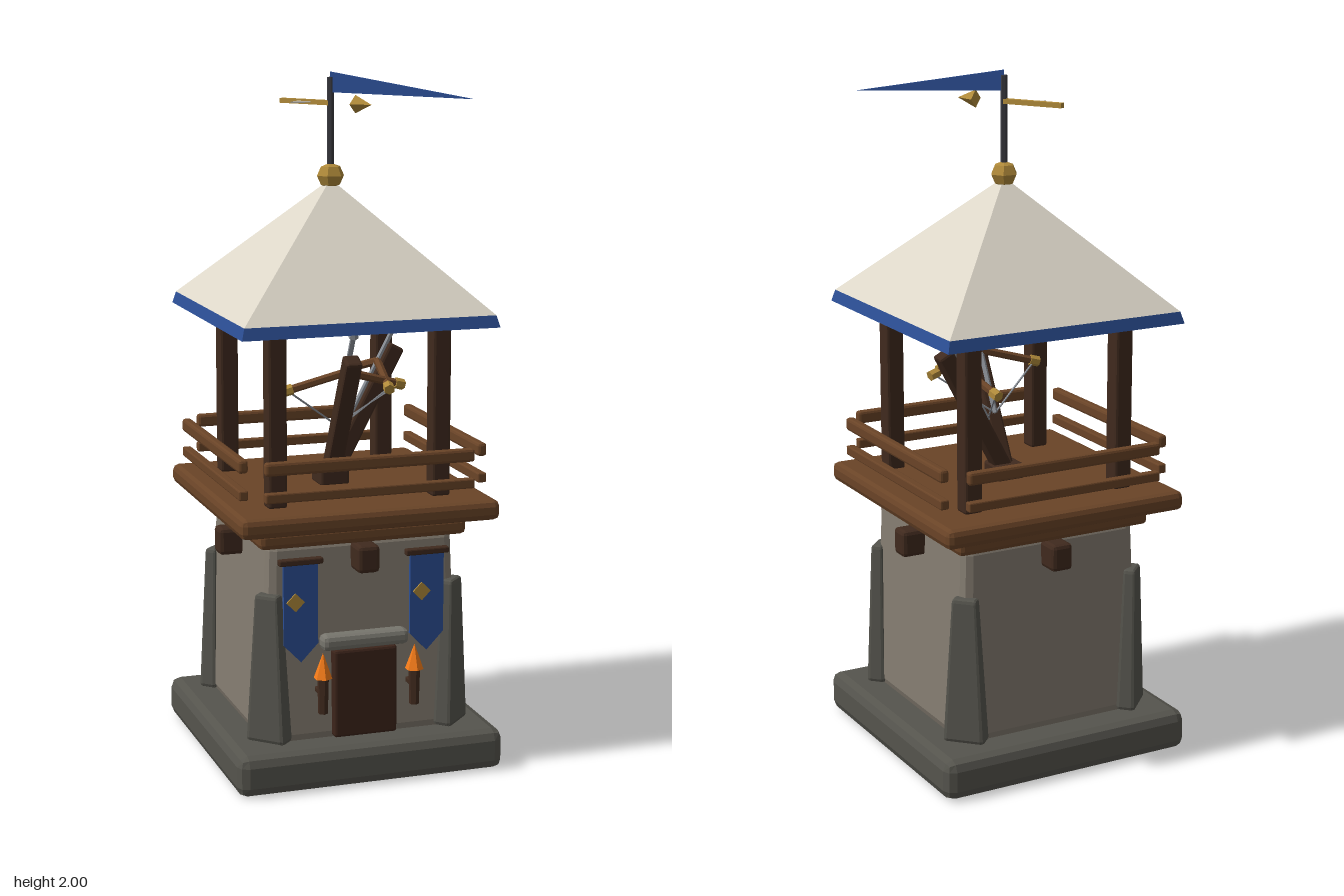
import * as THREE from 'three';
import { RoundedBoxGeometry } from 'three/addons/geometries/RoundedBoxGeometry.js';

const mat = (color, side = THREE.FrontSide) =>
  new THREE.MeshStandardMaterial({ color, flatShading: true, side });
const M = {
  stone: mat(0x857d71), darkStone: mat(0x55544d), lintel: mat(0x77756d),
  wood: mat(0x6a4427), darkWood: mat(0x402a1e), door: mat(0x3c241a),
  roof: mat(0xdcd6c8), blue: mat(0x2c4f96, THREE.DoubleSide), gold: mat(0xb08a3a),
  flame: mat(0xf57c1a), steel: mat(0x8a8f96), pole: mat(0x3a3a40),
  fin: mat(0xd0c8b8, THREE.DoubleSide),
};

function add(parent, name, geometry, material, x = 0, y = 0, z = 0) {
  const mesh = new THREE.Mesh(geometry, material);
  mesh.name = name;
  mesh.position.set(x, y, z);
  parent.add(mesh);
  return mesh;
}

function group(parent, name) {
  const g = new THREE.Group();
  g.name = name;
  parent.add(g);
  return g;
}

// Box with chamfered edges; its plan can narrow towards the top
function block(w, h, d, bevel = 0.008, topX = 1, topZ = topX) {
  const g = new RoundedBoxGeometry(w, h, d, 1, bevel);
  const p = g.attributes.position;
  for (let i = 0; i < p.count; i++) {
    const t = p.getY(i) / h + 0.5;
    p.setX(i, p.getX(i) * (1 + (topX - 1) * t));
    p.setZ(i, p.getZ(i) * (1 + (topZ - 1) * t));
  }
  g.computeVertexNormals();
  return g;
}

// Round bar between two points
function bar(parent, name, a, b, r, material, sides = 6) {
  const from = new THREE.Vector3(...a), dir = new THREE.Vector3(...b).sub(from);
  const mesh = add(parent, name, new THREE.CylinderGeometry(r, r, dir.length(), sides), material);
  mesh.position.copy(from).addScaledVector(dir, 0.5);
  mesh.quaternion.setFromUnitVectors(new THREE.Vector3(0, 1, 0), dir.normalize());
  return mesh;
}

// Square frustum given by half widths
const frustum = (top, bottom, h) =>
  new THREE.CylinderGeometry(top * Math.SQRT2, bottom * Math.SQRT2, h, 4).rotateY(Math.PI / 4);

function polygon(points, depth) {
  const shape = new THREE.Shape(points.map(([x, y]) => new THREE.Vector2(x, y)));
  return new THREE.ExtrudeGeometry(shape, { depth, bevelEnabled: false }).translate(0, 0, -depth / 2);
}

// Ballista leaning outwards, built along local y
function ballista(parent, turn) {
  const pivot = group(parent, 'ballista');
  pivot.position.y = 0.82;
  pivot.rotation.y = turn;
  const g = group(pivot, 'tiltedBallista');
  g.rotation.x = 0.485;
  add(g, 'stock', block(0.05, 0.43, 0.05), M.darkWood, 0, 0.215, 0);
  const z = -0.028;
  bar(g, 'bolt', [0, 0.17, z], [0, 0.5, z], 0.008, M.steel);
  add(g, 'boltTip', new THREE.ConeGeometry(0.016, 0.05, 6), M.steel, 0, 0.515, z);
  for (const s of [-1, 1]) {
    bar(g, 'bowArm', [0, 0.365, z], [s * 0.17, 0.31, z], 0.012, M.wood);
    bar(g, 'bowCap', [s * 0.155, 0.315, z], [s * 0.183, 0.306, z], 0.016, M.gold);
    bar(g, 'bowString', [s * 0.17, 0.31, z], [0, 0.17, z], 0.003, M.steel, 4);
  }
}

export function createModel() {
  const model = new THREE.Group();
  model.name = 'watchtower';

  // Stone base, tapered body and diagonal corner buttresses
  add(model, 'plinth', block(0.8, 0.12, 0.8, 0.03), M.darkStone, 0, 0.06, 0);
  add(model, 'towerBody', block(0.6, 0.6, 0.6, 0.03, 0.93), M.stone, 0, 0.41, 0);
  for (const sx of [-1, 1]) for (const sz of [-1, 1]) {
    const b = add(model, 'buttress', block(0.125, 0.435, 0.06, 0.012, 0.58, 0.6), M.darkStone,
      sx * 0.277, 0.34, sz * 0.277);
    b.rotation.y = Math.atan2(sx, sz);
  }

  // Door, lintel and torches
  add(model, 'door', block(0.19, 0.26, 0.06), M.door, 0, 0.255, 0.295);
  add(model, 'lintel', block(0.26, 0.045, 0.08, 0.015), M.lintel, 0, 0.408, 0.29);
  for (const s of [-1, 1]) {
    const t = group(model, 'torch');
    t.position.set(s * 0.138, 0, 0.347);
    add(t, 'torchHandle', new THREE.CylinderGeometry(0.017, 0.014, 0.11, 6), M.darkWood, 0, 0.268, 0);
    add(t, 'torchFlame', new THREE.ConeGeometry(0.027, 0.075, 6), M.flame, 0, 0.355, 0);
    add(t, 'torchBracket', block(0.015, 0.015, 0.06, 0.003), M.darkWood, 0, 0.27, -0.03);
  }

  // Banners hanging from rods
  for (const s of [-1, 1]) {
    const b = group(model, 'banner');
    b.position.set(s * 0.19, 0, 0.302);
    add(b, 'bannerRod', block(0.13, 0.018, 0.025, 0.004), M.darkWood, 0, 0.652, 0);
    add(b, 'bannerCloth', polygon([[-0.051, 0.65], [-0.051, 0.41], [0, 0.357], [0.051, 0.41], [0.051, 0.65]], 0.01), M.blue);
    add(b, 'bannerEmblem', polygon([[-0.027, 0], [0, -0.027], [0.027, 0], [0, 0.027]], 0.008), M.gold, -0.017, 0.535, 0.006);
  }

  // Crossed beams, platform and railings
  add(model, 'crossBeam', block(0.7, 0.08, 0.066, 0.012), M.darkWood, 0, 0.652, 0);
  add(model, 'crossBeam', block(0.066, 0.08, 0.7, 0.012), M.darkWood, 0, 0.652, 0);
  add(model, 'lowerDeck', block(0.62, 0.05, 0.62, 0.015), M.wood, 0, 0.717, 0);
  add(model, 'platform', block(0.77, 0.058, 0.77, 0.018), M.wood, 0, 0.774, 0);
  for (let i = 0; i < 4; i++) {
    const r = group(model, 'railing');
    r.rotation.y = i * Math.PI / 2;
    add(r, 'upperRail', block(0.62, 0.038, 0.028), M.wood, 0, 0.937, 0.356);
    add(r, 'lowerRail', block(0.62, 0.028, 0.026, 0.004), M.wood, 0, 0.855, 0.356);
    add(r, 'cornerPost', block(0.056, 0.52, 0.056), M.darkWood, 0.245, 1.06, 0.245);
  }

  // Two ballistas on a shared mount, aimed to the front and to the left
  add(model, 'ballistaMount', block(0.09, 0.05, 0.09), M.darkWood, 0, 0.823, 0);
  ballista(model, 0);
  ballista(model, Math.PI / 2);

  // Roof
  add(model, 'eaves', frustum(0.368, 0.377, 0.034), M.blue, 0, 1.318, 0);
  add(model, 'roof', frustum(0, 0.368, 0.36), M.roof, 0, 1.515, 0);
  add(model, 'finial', new THREE.SphereGeometry(0.041, 6, 4), M.gold, 0, 1.705, 0).scale.y = 0.9;
  bar(model, 'flagPole', [0, 1.68, 0], [0, 1.985, 0], 0.01, M.pole);

  // Pennant
  const flag = add(model, 'pennant', polygon([[0, 2], [0, 1.942], [0.43, 1.931]], 0.006), M.blue);
  flag.rotation.y = -0.695;

  // Wind vane with pointer, tail bar and fin; local +z is the pointing direction
  const vane = group(model, 'windVane');
  vane.position.y = 1.912;
  vane.rotation.y = Math.PI / 6;
  add(vane, 'vaneBar', new THREE.BoxGeometry(0.018, 0.014, 0.19), M.gold, 0, 0, -0.095);
  add(vane, 'vanePointer', new THREE.ConeGeometry(0.026, 0.06, 4).rotateX(Math.PI / 2), M.gold, 0, 0, 0.124);
  add(vane, 'vaneFin', polygon([[0, 0.062], [0, 0.122], [-0.06, 0.1]], 0.004).rotateX(-Math.PI / 2), M.fin);
  return model;
}
